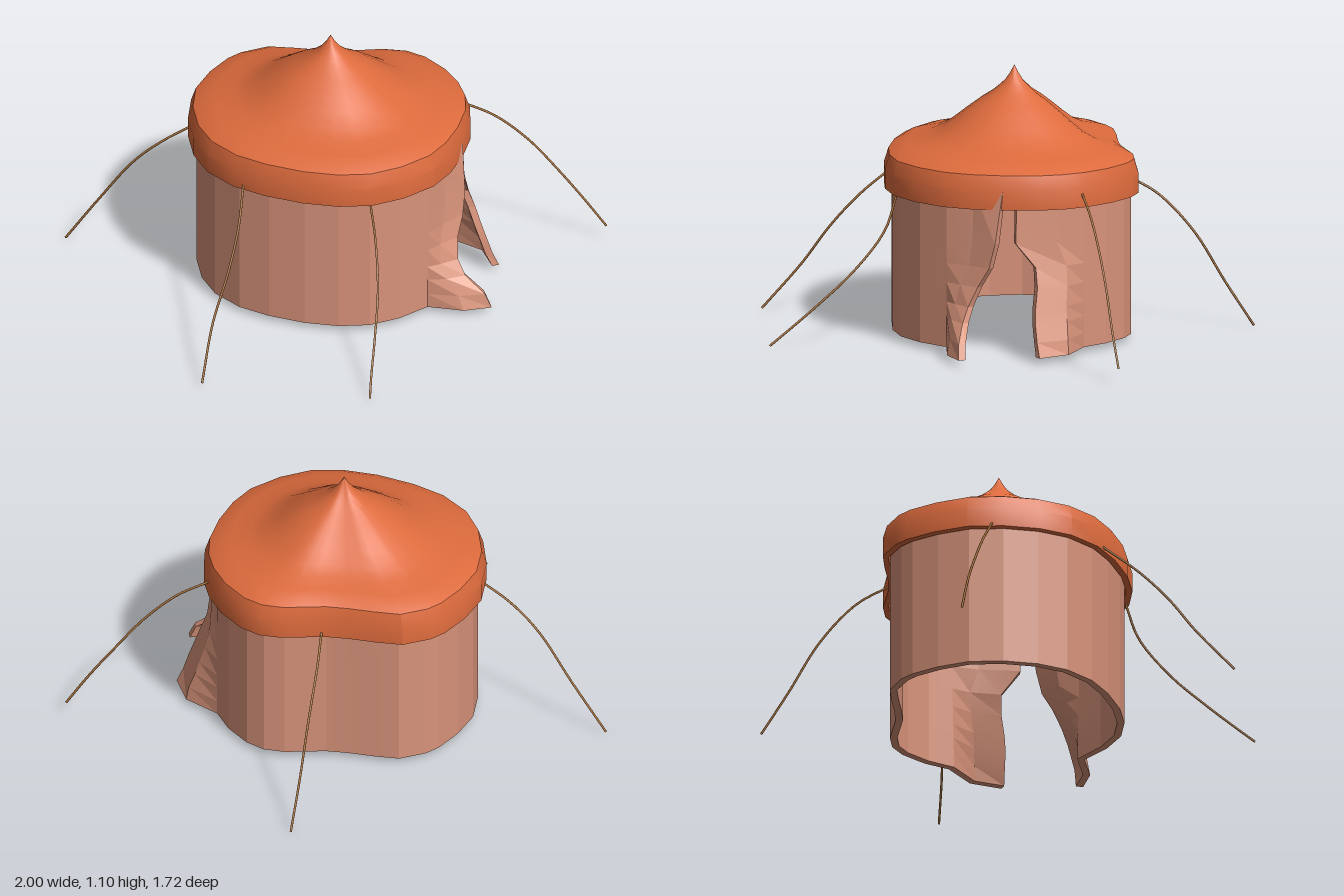
import * as THREE from 'three';
import { toCreasedNormals } from 'three/addons/utils/BufferGeometryUtils.js';

// Plan of the eaves as [x, z], running round from the back
const PLAN = [
  [-0.15, -0.69], [-0.03, -0.67], [0.06, -0.6], [0.14, -0.53], [0.22, -0.47], [0.3, -0.43], [0.38, -0.39],
  [0.45, -0.33], [0.49, -0.25], [0.51, -0.12], [0.5, 0], [0.47, 0.1], [0.41, 0.2], [0.31, 0.3],
  [0.2, 0.38], [0.09, 0.43], [-0.06, 0.445], [-0.2, 0.425], [-0.32, 0.36], [-0.43, 0.26], [-0.53, 0.13],
  [-0.6, 0], [-0.63, -0.15], [-0.61, -0.29], [-0.55, -0.43], [-0.46, -0.55], [-0.34, -0.63], [-0.22, -0.68],
];
const CX = -0.06, CZ = -0.12;

const scaled = ([x, z], s) => [CX + (x - CX) * s, CZ + (z - CZ) * s];

// Collects quads, dropping collapsed triangles
function surface(build, crease) {
  const pos = [];
  const tri = (a, b, c) => {
    const area = b.clone().sub(a).cross(c.clone().sub(a)).length();
    if (area > 1e-9) for (const p of [a, b, c]) pos.push(p.x, p.y, p.z);
  };
  build((a, b, c, d) => { tri(a, b, c); tri(a, c, d); });
  const g = new THREE.BufferGeometry();
  g.setAttribute('position', new THREE.Float32BufferAttribute(pos, 3));
  g.computeVertexNormals();
  return toCreasedNormals(g, crease);
}

// Joins closed rings one after another
function skin(rings, quad) {
  for (let j = 0; j < rings.length - 1; j++) {
    const lo = rings[j], hi = rings[j + 1], n = lo.length;
    for (let i = 0; i < n; i++) {
      const k = (i + 1) % n;
      quad(lo[i], hi[i], hi[k], lo[k]);
    }
  }
}

// Roof shell: lining from the peak down to the eaves, then the outside back up
function roofGeometry() {
  const profile = [
    [0, 1.06], [0.18, 0.96], [0.37, 0.89], [0.56, 0.81], [0.8, 0.77], [0.93, 0.74], [0.95, 0.62],
    [1, 0.62], [1, 0.7], [0.965, 0.76], [0.89, 0.782], [0.81, 0.796], [0.67, 0.814], [0.56, 0.842], [0.46, 0.882],
    [0.37, 0.92], [0.27, 0.96], [0.17, 0.995], [0.12, 1.018], [0.075, 1.04], [0.035, 1.07], [0, 1.105],
  ];
  const rings = profile.map(([s, y]) => PLAN.map((p) => {
    const [x, z] = scaled(p, s);
    return new THREE.Vector3(x, y, z);
  }));
  return surface((quad) => skin(rings, quad), 0.45);
}

// Wall with a slit doorway whose two flaps curl outwards towards the ground
function wallGeometry() {
  // y, front flap edge xz, front flap middle xz, side flap middle xz, side flap edge xz
  const levels = [
    [0.03, 0.3, 0.54, 0.19, 0.5, 0.53, 0.14, 0.5, 0.275],
    [0.09, 0.28, 0.52, 0.18, 0.475, 0.52, 0.135, 0.475, 0.265],
    [0.16, 0.23, 0.45, 0.15, 0.435, 0.5, 0.12, 0.455, 0.255],
    [0.22, 0.22, 0.41, 0.14, 0.405, 0.485, 0.11, 0.44, 0.24],
    [0.3, 0.24, 0.375, 0.15, 0.385, 0.47, 0.09, 0.425, 0.215],
    [0.38, 0.28, 0.35, 0.18, 0.365, 0.455, 0.08, 0.4, 0.2],
    [0.48, 0.3, 0.335, 0.19, 0.355, 0.43, 0.11, 0.345, 0.26],
    [0.7, 0.31, 0.3, 0.19, 0.35, 0.42, 0.11, 0.34, 0.25],
  ];
  const body = [...PLAN.slice(15), ...PLAN.slice(0, 11)].map((p) => scaled(p, 0.94));
  const thick = 0.03;
  const rings = levels.map(([y, ax, az, bx, bz, cx, cz, dx, dz]) => {
    const path = [[ax, az], [bx, bz], ...body, [cx, cz], [dx, dz]];
    const outer = path.map(([x, z]) => new THREE.Vector3(x, y, z));
    const inner = outer.map((p, i) => {
      const a = outer[Math.max(i - 1, 0)], b = outer[Math.min(i + 1, outer.length - 1)];
      const t = b.clone().sub(a).normalize();
      return new THREE.Vector3(p.x - t.z * thick, y, p.z + t.x * thick);
    });
    return [...outer, ...inner.reverse()];
  });
  return surface((quad) => {
    skin(rings, quad);
    // Bottom and top edges of the cloth
    const lo = rings[0], hi = rings[rings.length - 1], n = lo.length;
    for (let i = 0; i < n / 2 - 1; i++) {
      quad(lo[i], lo[i + 1], lo[n - 2 - i], lo[n - 1 - i]);
      quad(hi[n - 1 - i], hi[n - 2 - i], hi[i + 1], hi[i]);
    }
  }, 0.12);
}

// Guy ropes from the eaves to the ground
const ROPES = {
  backRightRope: [[-0.51, 0.64, -0.46], [-0.6, 0.555, -0.54], [-0.68, 0.44, -0.63], [-0.77, 0.23, -0.75], [-0.87, 0.015, -0.855]],
  backLeftRope: [[0.23, 0.64, -0.46], [0.31, 0.56, -0.57], [0.41, 0.4, -0.68], [0.5, 0.19, -0.77], [0.585, 0.01, -0.85]],
  leftRope: [[0.48, 0.68, 0.02], [0.6, 0.61, 0.085], [0.72, 0.49, 0.15], [0.82, 0.35, 0.205], [0.91, 0.21, 0.26], [0.995, 0.07, 0.305]],
  rightRope: [[-0.57, 0.645, 0.03], [-0.67, 0.52, 0.15], [-0.77, 0.38, 0.23], [-0.88, 0.21, 0.29], [-1, 0.02, 0.4]],
  frontRope: [[-0.2, 0.62, 0.41], [-0.21, 0.48, 0.465], [-0.27, 0.32, 0.58], [-0.36, 0.18, 0.7], [-0.44, 0.07, 0.8], [-0.48, 0.015, 0.855]],
};

export function createModel() {
  const tent = new THREE.Group();
  tent.name = 'tent';
  const add = (name, geometry, color) => {
    const mesh = new THREE.Mesh(geometry, new THREE.MeshStandardMaterial({ color }));
    mesh.name = name;
    tent.add(mesh);
  };
  add('roof', roofGeometry(), 0xdd6b3d);
  add('wall', wallGeometry(), 0xd8937a);
  for (const [name, pts] of Object.entries(ROPES)) {
    const curve = new THREE.CatmullRomCurve3(pts.map((p) => new THREE.Vector3(...p)));
    add(name, new THREE.TubeGeometry(curve, 20, 0.005, 6), 0xa8733f);
  }
  return tent;
}
